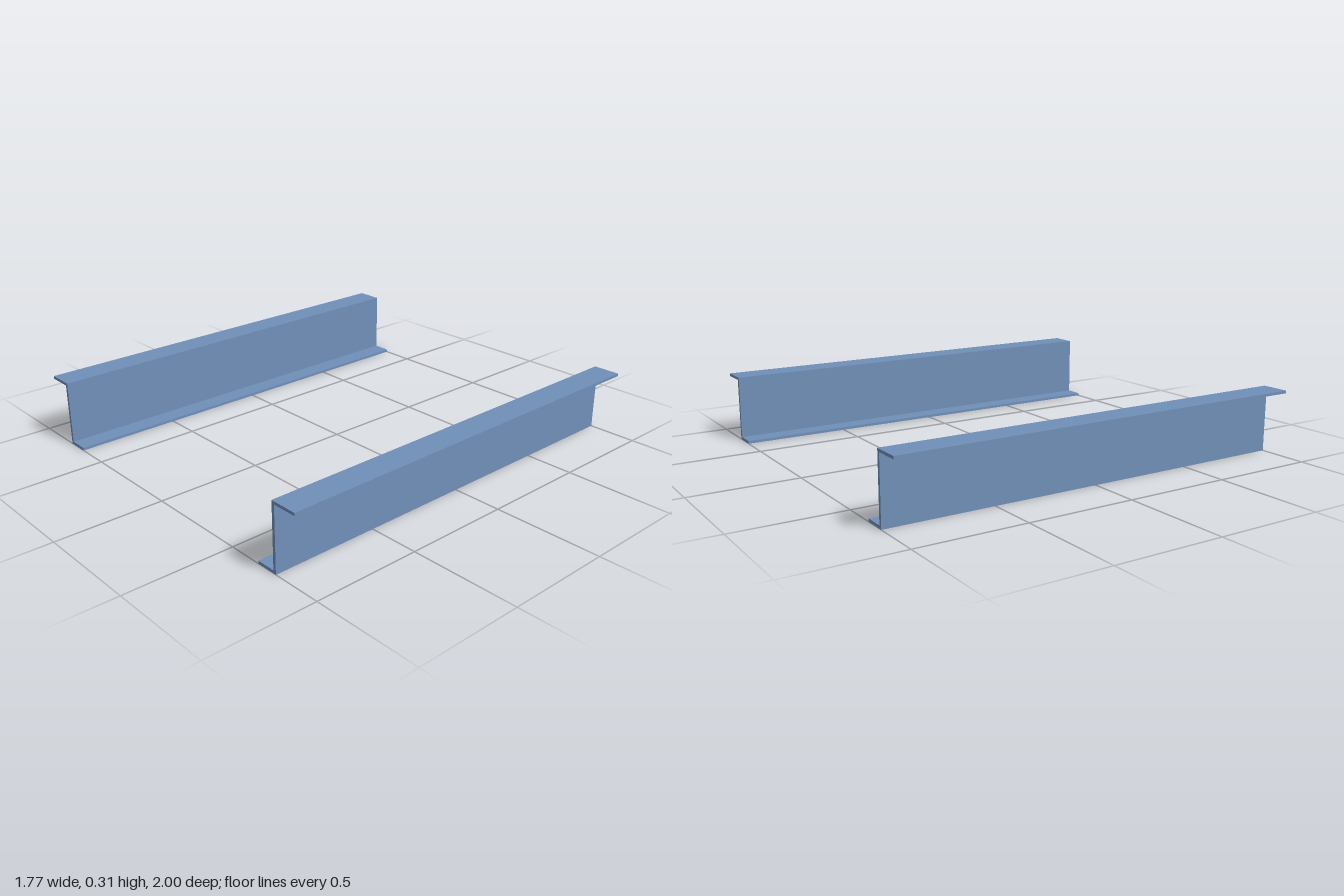
import * as THREE from 'three';

const OUTER = 0.883, WEB_OUT = 0.768, WEB_IN = 0.754, INNER = 0.663;
const HEIGHT = 0.31, THICK = 0.013, LENGTH = 2;

// Z-shaped rail: top flange points outward, bottom flange inward
function railGeometry(side) {
  const profile = [
    [INNER, 0], [WEB_OUT, 0], [WEB_OUT, HEIGHT - THICK], [OUTER, HEIGHT - THICK],
    [OUTER, HEIGHT], [WEB_IN, HEIGHT], [WEB_IN, THICK], [INNER, THICK],
  ].map(([x, y]) => new THREE.Vector2(side * x, y));
  const geometry = new THREE.ExtrudeGeometry(new THREE.Shape(profile), { depth: LENGTH, bevelEnabled: false });
  return geometry.translate(0, 0, -LENGTH / 2);
}

export function createModel() {
  const model = new THREE.Group();
  model.name = 'railPair';
  const steel = new THREE.MeshStandardMaterial({ color: 0x7090b8 });
  steel.name = 'steelBlue';

  // Mirrored pair of rails
  for (const [name, side] of [['leftRail', 1], ['rightRail', -1]]) {
    const rail = new THREE.Mesh(railGeometry(side), steel);
    rail.name = name;
    model.add(rail);
  }
  return model;
}
